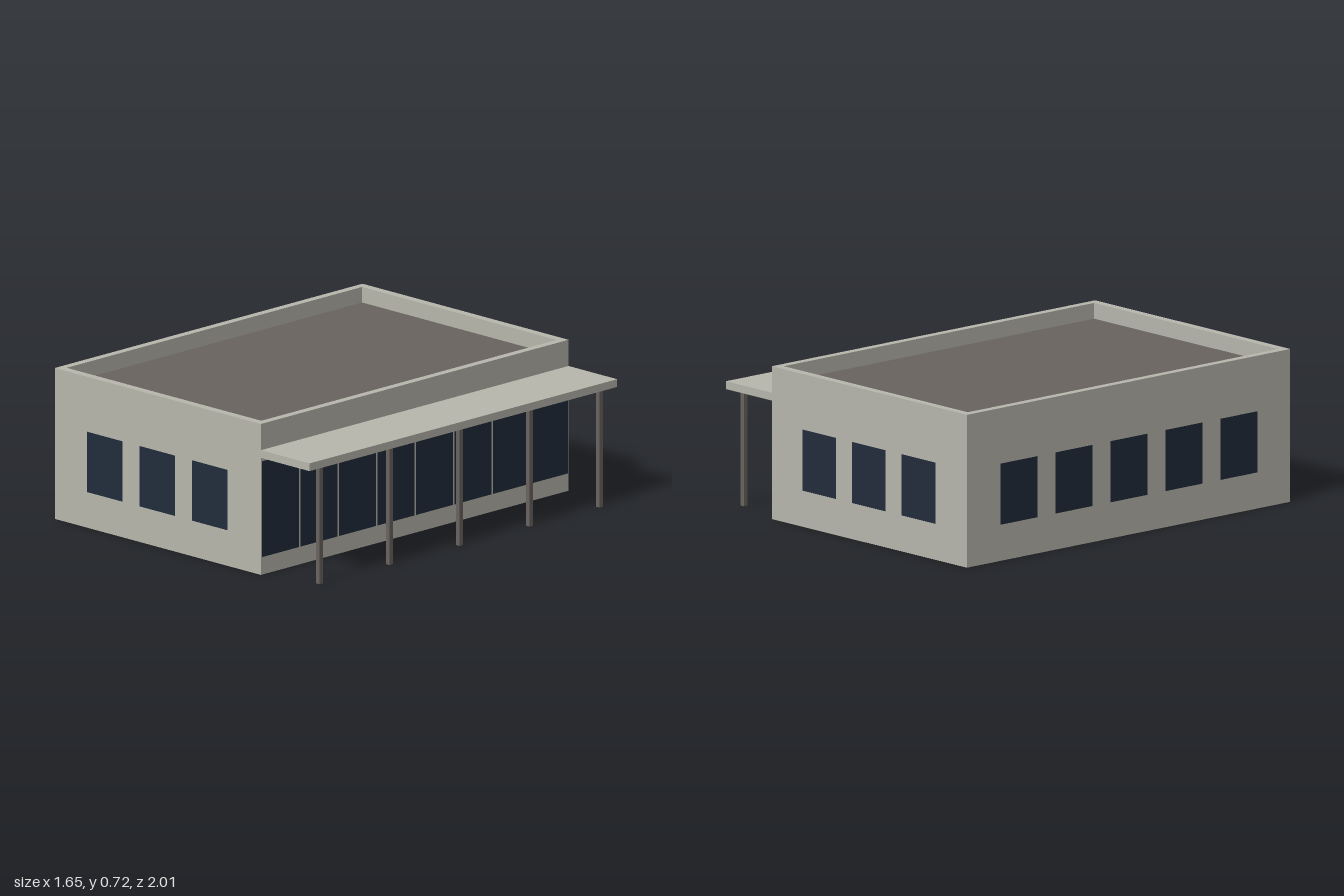
import * as THREE from 'three';

const X0 = -0.825, X1 = 0.51, Z = 1;         // footprint of the hall
const ROOF_Y = 0.645, TOP_Y = 0.72, RIM = 0.037;

export function createModel() {
  const wall = new THREE.MeshStandardMaterial({ color: 0xb9b8ae, side: THREE.DoubleSide });
  wall.name = 'paleConcrete';
  const dark = new THREE.MeshStandardMaterial({ color: 0x6a6460, side: THREE.DoubleSide });
  dark.name = 'warmGrey';
  const glass = new THREE.MeshStandardMaterial({ color: 0x212c3b });
  glass.name = 'darkGlass';

  const model = new THREE.Group();
  model.name = 'pavilion';

  const add = (name, geometry, material, x, y, z, turn = 0) => {
    const mesh = new THREE.Mesh(geometry, material);
    mesh.name = name;
    mesh.position.set(x, y, z);
    mesh.rotation.y = turn;
    model.add(mesh);
    return mesh;
  };

  const width = X1 - X0, cx = (X0 + X1) / 2;
  const wallTop = ROOF_Y + 0.001;

  // Thin outer walls, open underneath
  const endWall = new THREE.PlaneGeometry(width, wallTop);
  const sideWall = new THREE.PlaneGeometry(2 * Z, wallTop);
  add('frontWall', endWall, wall, cx, wallTop / 2, Z);
  add('backWall', endWall, wall, cx, wallTop / 2, -Z, Math.PI);
  add('leftWall', sideWall, wall, X1, wallTop / 2, 0, Math.PI / 2);
  add('rightWall', sideWall, wall, X0, wallTop / 2, 0, -Math.PI / 2);

  // Sunken flat roof
  const roof = new THREE.PlaneGeometry(width, 2 * Z).rotateX(-Math.PI / 2);
  add('roof', roof, dark, cx, ROOF_Y, 0);

  // Parapet ring around the roof
  const rectangle = (target, w, d) => target
    .moveTo(-w / 2, -d / 2).lineTo(w / 2, -d / 2)
    .lineTo(w / 2, d / 2).lineTo(-w / 2, d / 2).closePath();
  const ring = rectangle(new THREE.Shape(), width, 2 * Z);
  ring.holes.push(rectangle(new THREE.Path(), width - 2 * RIM, 2 * (Z - RIM - 0.003)));
  const parapet = new THREE.ExtrudeGeometry(ring, { depth: TOP_Y - wallTop, bevelEnabled: false });
  add('parapet', parapet.rotateX(-Math.PI / 2), wall, cx, wallTop, 0);

  // Canopy and its posts
  const canopyX1 = 0.825, canopyY = 0.558, canopyH = 0.037;
  add('canopy', new THREE.BoxGeometry(canopyX1 - X1, canopyH, 2 * Z), wall,
    (X1 + canopyX1) / 2, canopyY + canopyH / 2, 0);
  const post = new THREE.BoxGeometry(0.023, canopyY, 0.023);
  for (let i = -2; i <= 2; i++) add('post', post, dark, 0.8, canopyY / 2, i * 0.455);

  // Windows on both ends and along the closed side
  const skin = 0.003, windowY = 0.315;
  const pane = new THREE.PlaneGeometry(0.23, 0.288);
  for (let i = -1; i <= 1; i++) {
    const x = cx + i * 0.34;
    add('frontWindow', pane, glass, x, windowY, Z + skin);
    add('backWindow', pane, glass, x, windowY, -Z - skin, Math.PI);
  }
  for (let i = -2; i <= 2; i++) {
    add('sideWindow', pane, glass, X0 - skin, windowY, i * 0.34, -Math.PI / 2);
  }

  // Glazed front under the canopy, eight panels with narrow gaps
  const panel = new THREE.PlaneGeometry(0.239, 0.457);
  for (let i = 0; i < 8; i++) {
    add('glazingPanel', panel, glass, X1 + skin, 0.313, -0.875 + i * 0.25, Math.PI / 2);
  }
  return model;
}
